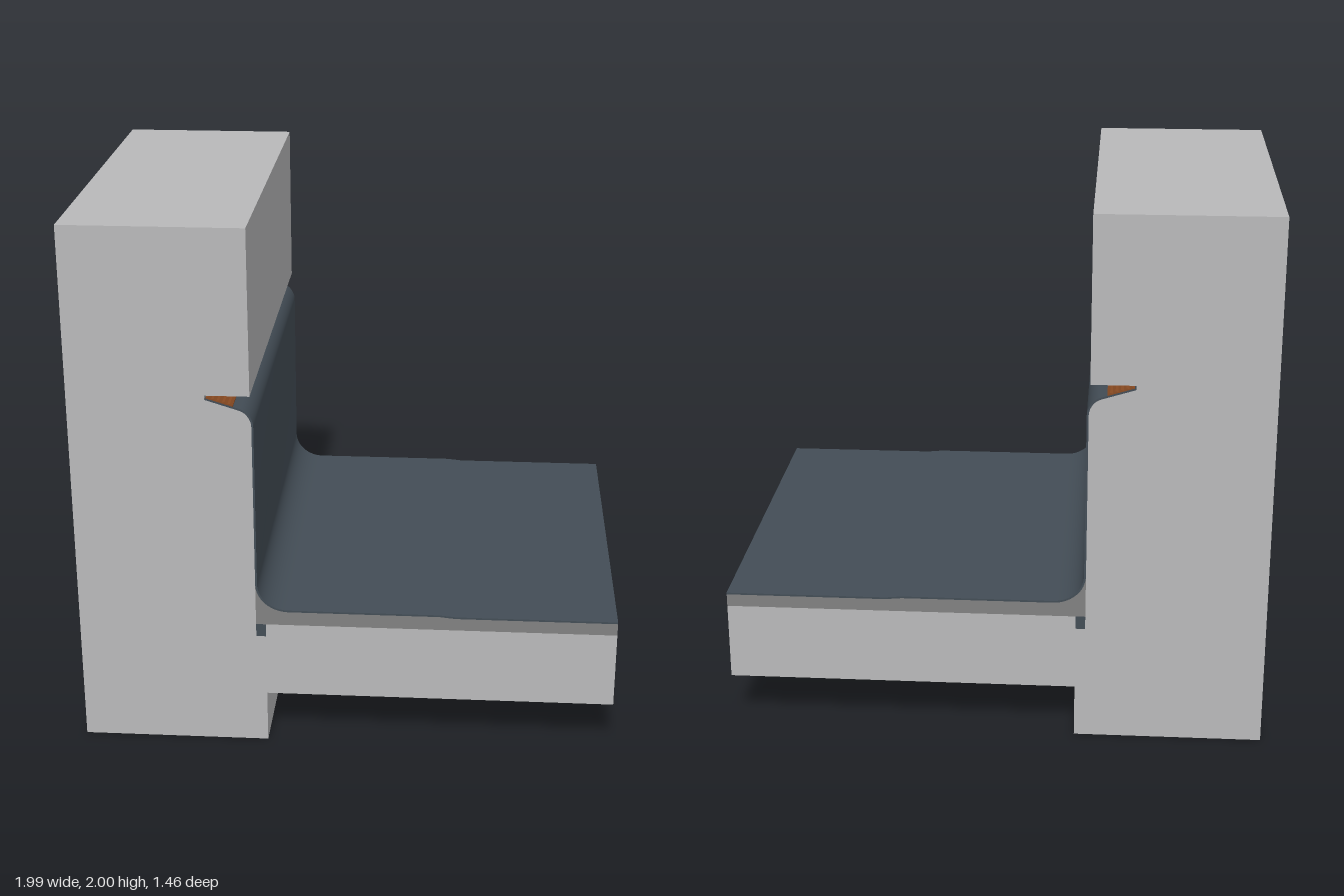
import * as THREE from 'three';
import { toCreasedNormals } from 'three/addons/utils/BufferGeometryUtils.js';

const DEPTH = 1.46;
const material = (name, color) => {
  const m = new THREE.MeshStandardMaterial({ color });
  m.name = name;
  return m;
};
const V = (x, y) => new THREE.Vector2(x, y);

// Extrude a cross-section along the whole depth, centred on z = 0
function section(name, points, mat) {
  const geo = new THREE.ExtrudeGeometry(new THREE.Shape(points), { depth: DEPTH, bevelEnabled: false });
  geo.translate(0, 0, -DEPTH / 2);
  const mesh = new THREE.Mesh(toCreasedNormals(geo, 0.5), mat);
  mesh.name = name;
  return mesh;
}

// Rounded corner sampled as a cubic curve with a quarter-circle feel
function corner(a, c, b, n = 12) {
  const k = 0.56;
  return new THREE.CubicBezierCurve(a, a.clone().lerp(c, k), b.clone().lerp(c, k), b).getPoints(n);
}

// Band of constant thickness laid on the left-hand side of a path
function band(path, t) {
  const outer = path.map((p, i) => {
    const d = path[Math.min(i + 1, path.length - 1)].clone().sub(path[Math.max(i - 1, 0)]).normalize();
    return V(p.x - d.y * t, p.y + d.x * t);
  });
  return [...path, ...outer.reverse()];
}

export function createModel() {
  const group = new THREE.Group();
  const concrete = material('concrete grey', 0xb9b9ba);
  const screedGrey = material('screed grey', 0x818181);
  const slate = material('membrane slate', 0x434d56);
  const copper = material('copper brown', 0x8a4b22);
  const steel = material('dark steel', 0x4a4a4a);

  // Surfaces carrying the membrane: wall lip and face, then cove and floor
  const face = -0.336;
  const lip = [V(-0.5, 1.374), ...corner(V(-0.378, 1.336), V(face, 1.323), V(face, 1.275))];
  const floor = [
    ...corner(V(face, 0.655), V(face, 0.543), V(-0.215, 0.543), 16),
    V(0.34, 0.543), V(0.4, 0.537), V(0.99, 0.537),
  ];

  // Wall and slab in one piece, with the groove and the joint pocket
  group.add(section('wallAndSlab', [
    V(-0.995, 0), V(-0.3, 0), V(-0.3, 0.2), V(0.99, 0.2), V(0.99, 0.49),
    V(-0.3, 0.49), V(-0.3, 0.44), V(face, 0.44),
    ...lip.slice().reverse(),
    V(-0.5, 1.39), V(-0.34, 1.39), V(-0.34, 2), V(-0.995, 2),
  ], concrete));

  // Screed with a coved edge against the wall
  group.add(section('screed', [V(face, 0.49), V(0.99, 0.49), ...floor.slice().reverse()], screedGrey));

  // Joint filler between wall and slab
  group.add(section('jointFiller', [V(face, 0.44), V(-0.3, 0.44), V(-0.3, 0.49), V(face, 0.49)], slate));

  // Waterproof membrane from the groove to the floor edge
  group.add(section('membrane', band([...lip, ...floor], 0.007), slate));

  // Ribbed clamping strip on the membrane inside the groove
  const slope = (x) => 1.381 - (x + 0.5) * 0.311;
  const ribs = [V(-0.495, slope(-0.495)), V(-0.4, slope(-0.4))];
  for (let i = 0; i <= 10; i++) {
    const x = -0.4 - i * 0.0095;
    ribs.push(V(x, slope(x) + (i % 2 ? 0.009 : 0.004)));
  }
  group.add(section('clampingStrip', ribs, copper));

  // Small fixing screw at the middle of the strip
  const screw = new THREE.Mesh(new THREE.CylinderGeometry(0.011, 0.011, 0.012, 12), steel);
  screw.name = 'fixingScrew';
  screw.position.set(-0.425, slope(-0.425) + 0.007, 0);
  screw.rotation.z = -0.3;
  group.add(screw);

  return group;
}
